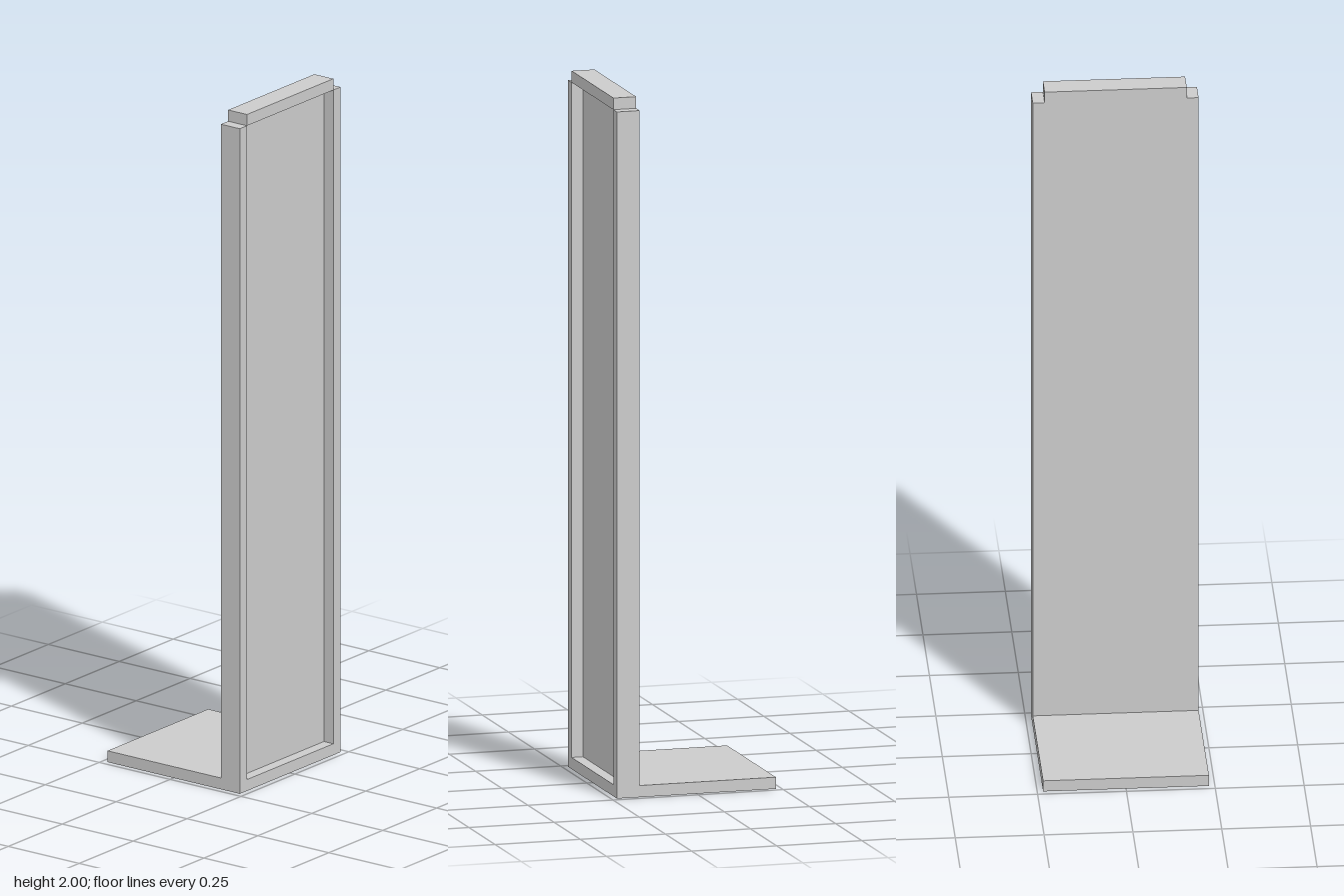
import * as THREE from 'three';

const T = 1 / 30;          // board thickness
const HALF = 7 * T;        // half the overall width and depth
const INNER = HALF - T;    // half the width between the rails
const HEIGHT = 2;

export function createModel() {
  const group = new THREE.Group();
  const material = new THREE.MeshStandardMaterial({ color: 0xcccccc });

  // Box given by its lower and upper bounds on each axis
  const addBox = (name, [x0, x1], [y0, y1], [z0, z1]) => {
    const mesh = new THREE.Mesh(new THREE.BoxGeometry(x1 - x0, y1 - y0, z1 - z0), material);
    mesh.position.set((x0 + x1) / 2, (y0 + y1) / 2, (z0 + z1) / 2);
    mesh.name = name;
    group.add(mesh);
  };

  const frameDepth = [HALF - 2 * T, HALF];

  // Square foot running back from the upright
  addBox('basePlate', [-HALF, HALF], [0, T], [-HALF, HALF]);

  // Side rails, stopping short of the top bar
  addBox('leftRail', [INNER, HALF], [T, HEIGHT - T], frameDepth);
  addBox('rightRail', [-HALF, -INNER], [T, HEIGHT - T], frameDepth);

  // Narrower bar closing the frame at the top
  addBox('topBar', [-INNER, INNER], [HEIGHT - T, HEIGHT], frameDepth);

  // Panel recessed behind the front of the frame, flush at the back
  addBox('backPanel', [-INNER, INNER], [T, HEIGHT - T], [HALF - 2 * T, HALF - T]);

  return group;
}
